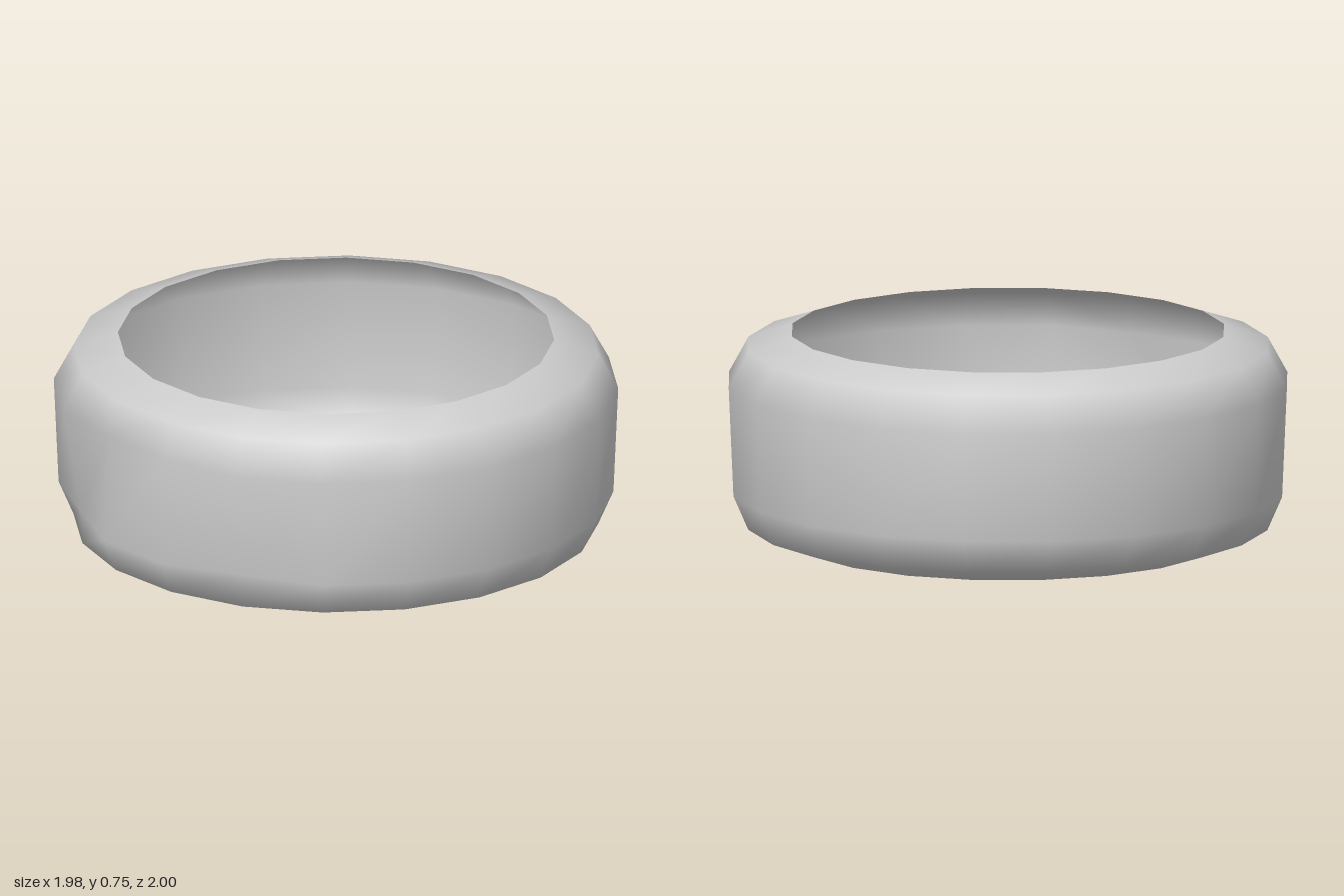
import * as THREE from 'three';
import { mergeVertices } from 'three/addons/utils/BufferGeometryUtils.js';

const SEGMENTS = 20;

// Outer wall from the open rim down to the centre of the base: [radius, height]
const PROFILE = [
  [0.773, 0.75], [0.93, 0.698], [1.0, 0.57],
  [0.983, 0.18], [0.93, 0.058], [0.77, 0], [0, 0],
];
const SHOULDER = 2;
const LOWER_WALL = 3;

export function createModel() {
  const group = new THREE.Group();
  group.name = 'bowl';

  const lathe = new THREE.LatheGeometry(PROFILE.map(([r, y]) => new THREE.Vector2(r, y)), SEGMENTS);
  lathe.index.array.reverse(); // the profile runs downwards, so turn the faces outwards

  // Flattened corners on the -x side: two in the shoulder, one below each side of them
  const pos = lathe.attributes.position;
  const dent = (segment, ring, scale) => {
    const i = segment * PROFILE.length + ring;
    pos.setX(i, pos.getX(i) * scale);
    pos.setZ(i, pos.getZ(i) * scale);
  };
  for (const segment of [15, 16]) dent(segment, SHOULDER, 0.96);
  for (const segment of [14, 17]) dent(segment, LOWER_WALL, 0.952);

  // Weld the seam and smooth the whole shell
  lathe.deleteAttribute('normal');
  lathe.deleteAttribute('uv');
  const geometry = mergeVertices(lathe, 1e-4);
  geometry.translate(-0.008, 0, 0);
  geometry.computeVertexNormals();

  // Thin shell, open at the top
  const shell = new THREE.Mesh(
    geometry,
    new THREE.MeshStandardMaterial({ color: 0xcccccc, side: THREE.DoubleSide }),
  );
  shell.name = 'bowlShell';
  group.add(shell);
  return group;
}
